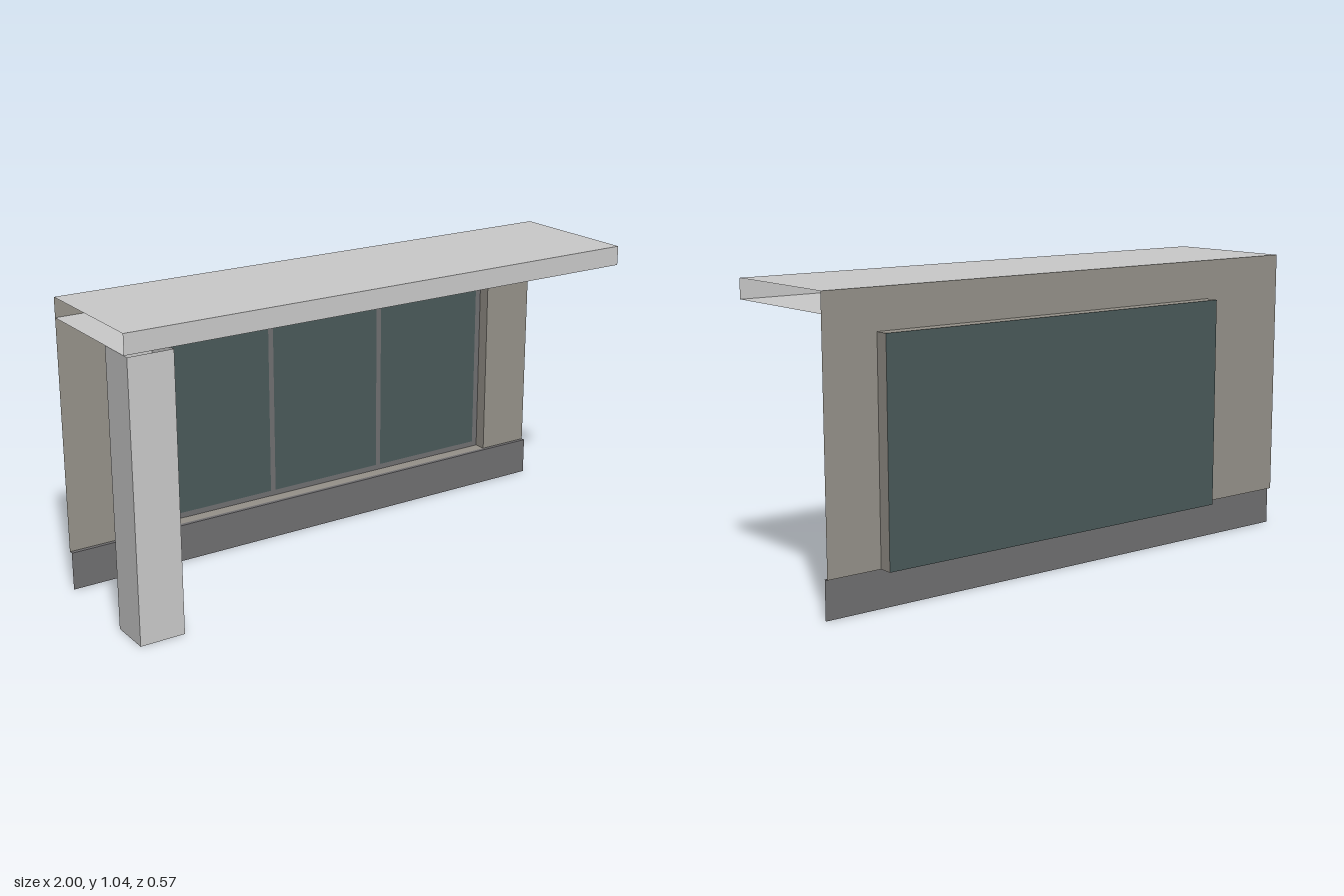
import * as THREE from 'three';

const mat = (name, color) => {
  const m = new THREE.MeshStandardMaterial({ color, side: THREE.DoubleSide });
  m.name = name;
  return m;
};

export function createModel() {
  const model = new THREE.Group();
  model.name = 'terraceFacade';
  const concrete = mat('light concrete', 0xcacaca);
  const plaster = mat('beige plaster', 0x96928a);
  const darkGrey = mat('dark grey', 0x706f71);
  const glass = mat('dark glass', 0x4a5a5a);

  // Thin sheets, each lying across one axis
  const sheet = (name, material, w, h, x, y, z, rx = 0, ry = 0, parent = model) => {
    const mesh = new THREE.Mesh(new THREE.PlaneGeometry(w, h), material);
    mesh.name = name;
    mesh.position.set(x, y, z);
    mesh.rotation.set(rx, ry, 0);
    parent.add(mesh);
    return mesh;
  };
  const across = (name, m, x0, x1, y0, y1, z, back = false, parent = model) =>
    sheet(name, m, x1 - x0, y1 - y0, (x0 + x1) / 2, (y0 + y1) / 2, z, 0, back ? Math.PI : 0, parent);
  const flat = (name, m, x0, x1, z0, z1, y, down = false, parent = model) =>
    sheet(name, m, x1 - x0, z1 - z0, (x0 + x1) / 2, y, (z0 + z1) / 2, down ? Math.PI / 2 : -Math.PI / 2, 0, parent);
  const side = (name, m, z0, z1, y0, y1, x, left = true, parent = model) =>
    sheet(name, m, z1 - z0, y1 - y0, x, (y0 + y1) / 2, (z0 + z1) / 2, 0, left ? Math.PI / 2 : -Math.PI / 2, parent);

  const wallZ = -0.235, glassZ = -0.285, roofZ = 0.265, baseZ = -0.22;
  const roofY = 1.04, soffitY = 0.97, sillY = 0.137;
  const win = { x0: -0.635, x1: 0.8, y0: sillY, y1: 0.9 };

  // Roof: top, front fascia and soffit, open at both ends
  const roof = new THREE.Group();
  roof.name = 'roof';
  model.add(roof);
  flat('roofTop', concrete, -1, 1, wallZ, roofZ, roofY, false, roof);
  flat('soffit', concrete, -1, 1, wallZ, roofZ, soffitY, true, roof);
  across('fascia', concrete, -1, 1, soffitY, roofY, roofZ, false, roof);

  // Pillar: four sides, open at top and bottom
  const pillar = new THREE.Group();
  pillar.name = 'pillar';
  model.add(pillar);
  across('pillarFront', concrete, -1, -0.84, 0, soffitY, 0.285, false, pillar);
  across('pillarBack', concrete, -1, -0.84, 0, soffitY, 0.135, true, pillar);
  side('pillarLeft', concrete, 0.135, 0.285, 0, soffitY, -0.84, true, pillar);
  side('pillarRight', concrete, 0.135, 0.285, 0, soffitY, -1, false, pillar);

  // Wall with the window opening cut up from its lower edge
  const outline = [
    [-1, sillY], [win.x0, sillY], [win.x0, win.y1], [win.x1, win.y1],
    [win.x1, sillY], [1, sillY], [1, roofY], [-1, roofY],
  ].map(([x, y]) => new THREE.Vector2(x, y));
  const wall = new THREE.Mesh(new THREE.ShapeGeometry(new THREE.Shape(outline)), plaster);
  wall.name = 'wall';
  wall.position.z = wallZ;
  model.add(wall);

  // Base strip standing slightly forward, with its ledge
  across('base', darkGrey, -1, 1, 0, sillY, baseZ);
  flat('baseLedge', darkGrey, -1, 1, wallZ, baseZ, sillY);

  // Window bay: reveals running back to the glass
  const bay = new THREE.Group();
  bay.name = 'windowBay';
  model.add(bay);
  flat('revealTop', plaster, win.x0, win.x1, glassZ, wallZ, win.y1, false, bay);
  flat('sill', plaster, win.x0, win.x1, glassZ, wallZ, win.y0, true, bay);
  side('revealLeft', plaster, glassZ, wallZ, win.y0, win.y1, win.x1, true, bay);
  side('revealRight', plaster, glassZ, wallZ, win.y0, win.y1, win.x0, false, bay);
  across('glass', glass, win.x0, win.x1, win.y0, win.y1, glassZ, true, bay);

  // Frame with three panes
  const rect = (path, x0, x1, y0, y1) =>
    path.moveTo(x0, y0).lineTo(x1, y0).lineTo(x1, y1).lineTo(x0, y1).closePath();
  const frameShape = rect(new THREE.Shape(), win.x0, win.x1, win.y0, win.y1);
  for (const [a, b] of [[-0.612, -0.167], [-0.147, 0.307], [0.327, 0.778]]) {
    frameShape.holes.push(rect(new THREE.Path(), a, b, 0.157, 0.882));
  }
  const frame = new THREE.Mesh(new THREE.ShapeGeometry(frameShape), darkGrey);
  frame.name = 'windowFrame';
  frame.position.z = glassZ + 0.004;
  bay.add(frame);

  return model;
}
